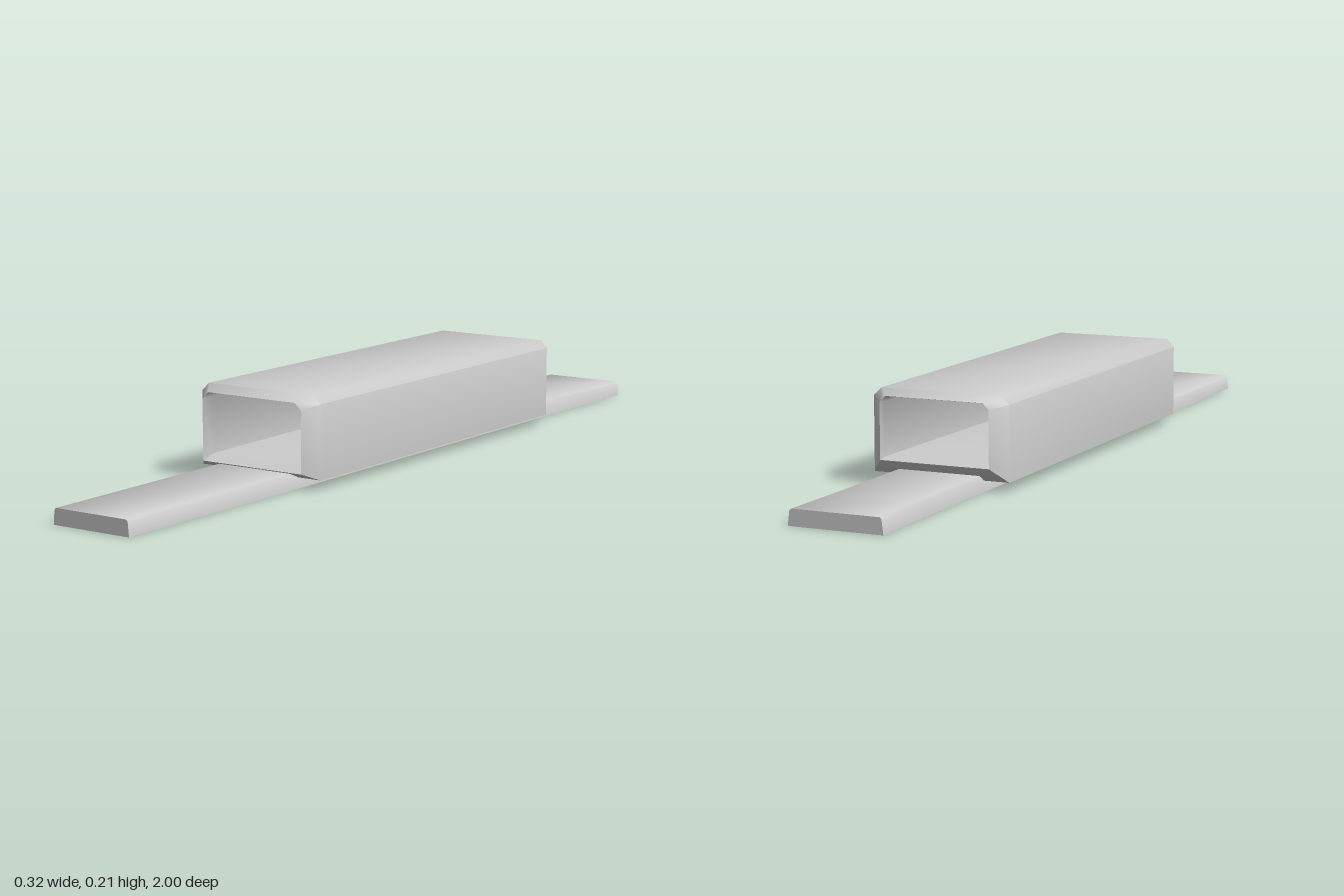
import * as THREE from 'three';
import { toCreasedNormals } from 'three/addons/utils/BufferGeometryUtils.js';

const material = new THREE.MeshStandardMaterial({ color: 0xcccccc, side: THREE.DoubleSide });

// Section with square lower corners and cut upper corners
function section(z, lower, upper, y0, y1, cut) {
  return [
    [lower, y0, z], [upper, y1 - cut, z], [upper - cut, y1, z],
    [cut - upper, y1, z], [-upper, y1 - cut, z], [-lower, y0, z],
  ];
}

// Skin a series of equal sections, running from front to back
function loft(name, rings, crease) {
  const n = rings[0].length;
  const index = [];
  for (let i = 0; i < rings.length - 1; i++) {
    for (let j = 0; j < n; j++) {
      const k = (j + 1) % n;
      const a = i * n + j, b = i * n + k, c = a + n, d = b + n;
      index.push(a, c, b, b, c, d);
    }
  }
  const geometry = new THREE.BufferGeometry();
  geometry.setAttribute('position', new THREE.Float32BufferAttribute(rings.flat(2), 3));
  geometry.setIndex(index);
  const mesh = new THREE.Mesh(toCreasedNormals(geometry, crease), material);
  mesh.name = name;
  return mesh;
}

export function createModel() {
  const group = new THREE.Group();
  group.name = 'sleeveOnStrip';

  // Open sleeve: tapered outer shell, then back through the inside
  const mouth = section(0.465, 0.135, 0.135, 0.04, 0.196, 0.016);
  group.add(loft('sleeve', [
    mouth,
    section(0.43, 0.162, 0.162, 0.024, 0.21, 0.018),
    section(-0.53, 0.162, 0.162, 0.024, 0.21, 0.018),
    section(-0.565, 0.13, 0.13, 0.057, 0.198, 0.014),
    section(-0.55, 0.127, 0.127, 0.062, 0.195, 0.012),
    section(0.43, 0.131, 0.131, 0.052, 0.195, 0.012),
    mouth,
  ], 0.95));

  // Flat strip, slightly wider at the back, closed by a point ring at each end
  const cap = (z) => section(z, 0, 0, 0.018, 0.018, 0);
  group.add(loft('strip', [
    cap(1),
    section(1, 0.1, 0.097, 0, 0.036, 0.004),
    section(0.45, 0.105, 0.1, 0, 0.036, 0.004),
    section(-0.8, 0.105, 0.1, 0, 0.036, 0.004),
    section(-1, 0.108, 0.104, 0, 0.036, 0.004),
    cap(-1),
  ], 0.95));

  return group;
}
